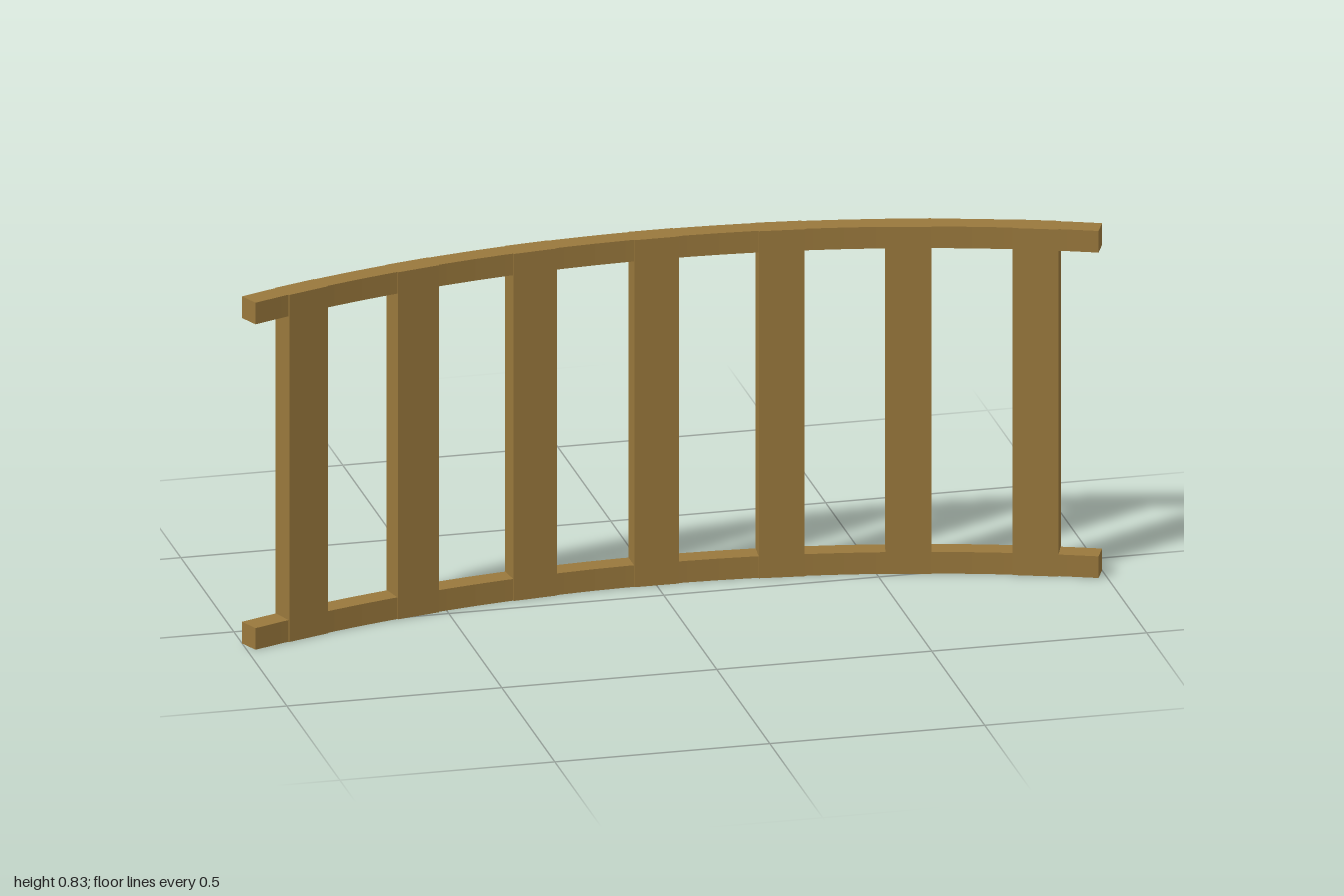
import * as THREE from 'three';

const R = 2.58;            // centre-line radius of the curve
const CZ = 2.484;          // z of the curve's centre
const HALF = 0.394;        // half of the arc, in radians
const HEIGHT = 0.835;
const RAIL = 0.052;        // rail thickness
const POSTS = 7;

// Curved rail: an arc-shaped strip in plan, extruded downwards from yTop
function makeRail(name, yTop, material) {
  const mid = -Math.PI / 2;
  const shape = new THREE.Shape();
  shape.absarc(0, CZ, R + RAIL / 2, mid - HALF, mid + HALF, false);
  shape.absarc(0, CZ, R - RAIL / 2, mid + HALF, mid - HALF, true);
  shape.closePath();
  const geometry = new THREE.ExtrudeGeometry(shape, { depth: RAIL, bevelEnabled: false, curveSegments: 14 });
  geometry.rotateX(Math.PI / 2);
  const rail = new THREE.Mesh(geometry, material);
  rail.name = name;
  rail.position.y = yTop;
  return rail;
}

export function createModel() {
  const wood = new THREE.MeshStandardMaterial({ color: 0x99783c });
  wood.name = 'brown wood';
  const fence = new THREE.Group();
  fence.name = 'curvedRailing';

  fence.add(makeRail('bottomRail', RAIL, wood), makeRail('topRail', HEIGHT, wood));

  // Upright slats, each turned to follow the curve
  const slat = new THREE.BoxGeometry(0.104, HEIGHT, 0.057);
  const step = (2 * HALF) / POSTS;
  for (let i = 0; i < POSTS; i++) {
    const a = (i - (POSTS - 1) / 2) * step;
    const post = new THREE.Mesh(slat, wood);
    post.name = `slat${i + 1}`;
    post.position.set(R * Math.sin(a), HEIGHT / 2, CZ - R * Math.cos(a) + 0.001);
    post.rotation.y = -a;
    fence.add(post);
  }
  return fence;
}
